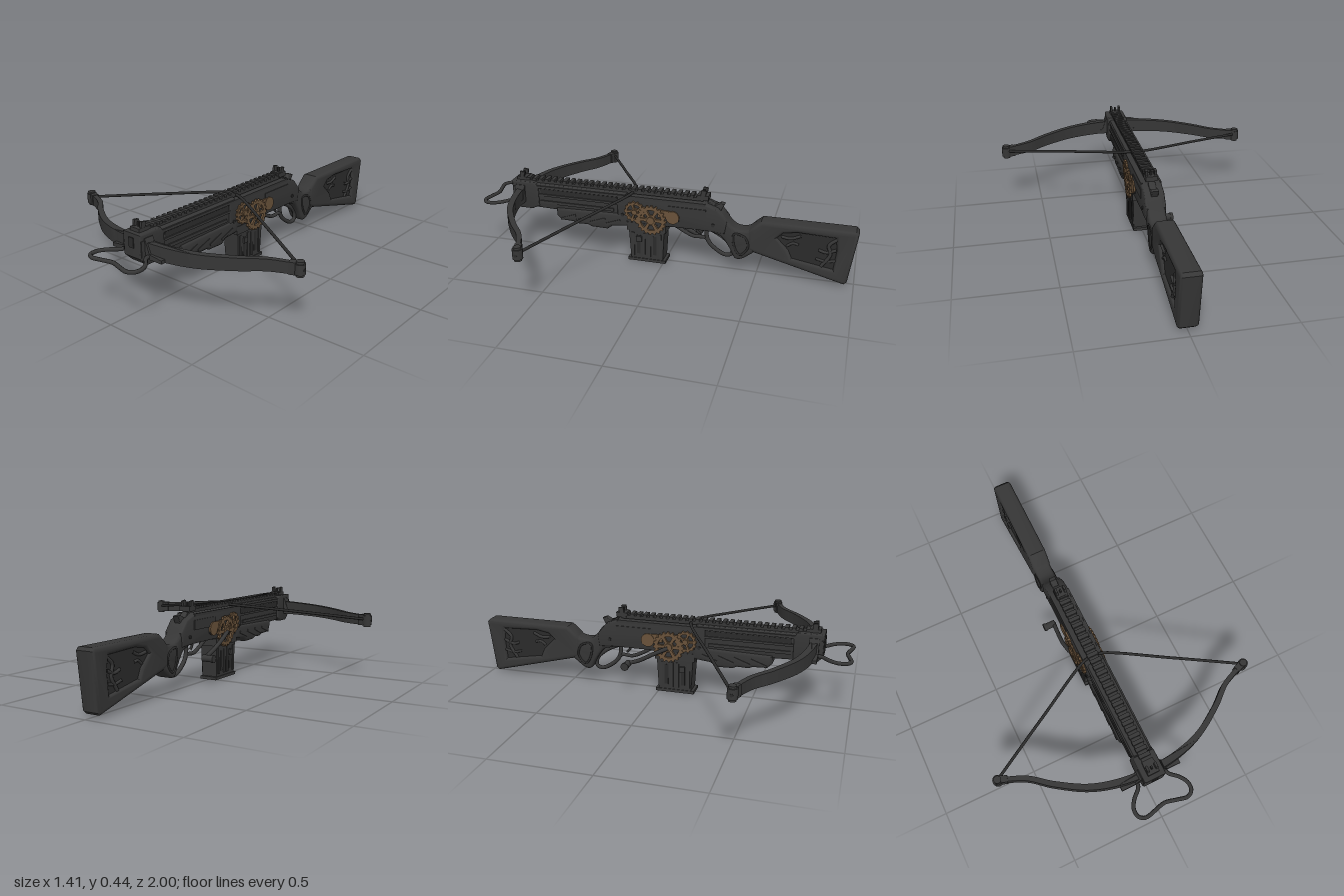
import * as THREE from 'three';
import { toCreasedNormals } from 'three/addons/utils/BufferGeometryUtils.js';

const mat = (name, color) => Object.assign(new THREE.MeshStandardMaterial({ color }), { name });
const V = (x, y, z) => new THREE.Vector3(x, y, z);
const V2 = ([a, b]) => new THREE.Vector2(a, b);

export function createModel() {
  const root = new THREE.Group();
  root.name = 'crossbow';
  const dark = mat('dark gunmetal', 0x363636);
  const black = mat('blackened steel', 0x2b2b2b);
  const bronze = mat('aged bronze', 0x69523a);

  const add = (name, geo, m = dark, parent = root) => {
    const mesh = new THREE.Mesh(geo, m);
    mesh.name = name;
    parent.add(mesh);
    return mesh;
  };
  const box = (name, w, h, d, x, y, z, m, rx = 0) => {
    const b = add(name, new THREE.BoxGeometry(w, h, d), m);
    b.position.set(x, y, z);
    b.rotation.x = rx;
    return b;
  };
  // cylinder lying along x
  const pin = (name, r, len, x, y, z, m, sides = 20) => {
    const c = add(name, new THREE.CylinderGeometry(r, r, len, sides).rotateZ(Math.PI / 2), m);
    c.position.set(x, y, z);
    return c;
  };
  // side profile given as [z, y], extruded across x with a rounded edge inside the outline
  const slab = (shape, half, bevel, segs = 3) => {
    const depth = 2 * (half - bevel);
    const g = new THREE.ExtrudeGeometry(shape, {
      depth, bevelEnabled: bevel > 0, bevelSize: bevel, bevelThickness: bevel,
      bevelOffset: -bevel, bevelSegments: segs, curveSegments: 10,
    });
    return toCreasedNormals(g.translate(0, 0, -depth / 2).rotateY(-Math.PI / 2), 0.65);
  };
  const poly = (pts) => new THREE.Shape(pts.map(V2));
  const smooth = (pts, n = 40) => new THREE.Shape(new THREE.SplineCurve(pts.map(V2)).getPoints(n));
  const tube = (name, pts, r, m = dark, closed = false, n = 40) =>
    add(name, new THREE.TubeGeometry(new THREE.CatmullRomCurve3(pts.map((p) => V(...p)), closed), n, r, 8, closed), m);

  // Receiver, barrel housing and nose
  add('receiver', slab(poly([[0.25, 0.375], [-0.22, 0.375], [-0.29, 0.35], [-0.34, 0.29], [-0.33, 0.22],
    [-0.24, 0.225], [-0.05, 0.225], [0.2, 0.2], [0.25, 0.22]]), 0.052, 0.008));
  add('barrelHousing', slab(poly([[0.83, 0.385], [0.2, 0.385], [0.2, 0.24], [0.6, 0.245], [0.8, 0.25], [0.83, 0.28]]), 0.045, 0.008));
  add('noseBlock', slab(poly([[0.85, 0.395], [0.72, 0.395], [0.7, 0.37], [0.7, 0.26], [0.74, 0.24], [0.81, 0.24], [0.85, 0.28]]), 0.056, 0.008));
  box('boltChannel', 0.03, 0.05, 0.008, 0, 0.35, 0.85, black);
  for (const s of [-1, 1]) {
    box('upperSideRib', 0.008, 0.014, 0.95, s * 0.049, 0.37, 0.25, dark);
    box('middleSideRib', 0.01, 0.012, 0.5, s * 0.047, 0.325, 0.45, dark);
    box('sideGroove', 0.006, 0.024, 0.48, s * 0.044, 0.347, 0.45, black);
    box('lowerSideRib', 0.01, 0.016, 0.42, s * 0.047, 0.285, 0.48, dark);
    box('receiverPlate', 0.006, 0.05, 0.2, s * 0.053, 0.32, -0.13, dark);
    for (const z of [-0.27, -0.08, 0.22]) pin('receiverPin', 0.009, 0.008, s * 0.054, 0.265, z, black, 12);
  }

  // Toothed top rail with sights
  box('railBase', 0.05, 0.018, 1.0, 0, 0.389, 0.29, dark);
  for (let i = 0; i < 28; i++) box('railTooth', 0.058, 0.014, 0.02, 0, 0.403, 0.765 - i * 0.0352, dark);
  for (const z of [0.8, -0.21]) {
    box('sightBase', 0.06, 0.025, 0.055, 0, 0.4, z, dark);
    for (const s of [-1, 1]) box('sightEar', 0.012, 0.04, 0.026, s * 0.023, 0.42, z, dark, -0.15);
    box('sightPost', 0.009, 0.03, 0.014, 0, 0.42, z, black);
  }
  add('hammer', slab(poly([[-0.23, 0.385], [-0.27, 0.36], [-0.3, 0.375], [-0.32, 0.37], [-0.3, 0.33], [-0.24, 0.33]]), 0.018, 0.004));

  // Scalloped fore-end
  add('foreEnd', slab(poly([[0.6, 0.26], [0.6, 0.215], [0.575, 0.19], [0.5, 0.187], [0.48, 0.178], [0.42, 0.18],
    [0.4, 0.17], [0.31, 0.168], [0.28, 0.19], [0.19, 0.2], [0.19, 0.27]]), 0.055, 0.016));
  for (const s of [-1, 1]) for (let i = 0; i < 4; i++)
    box('foreEndRidge', 0.008, 0.012, 0.09, s * 0.055, 0.215, 0.53 - i * 0.085, dark, 0.35);

  // Magazine with ribbed sides
  const magazine = new THREE.CylinderGeometry(0.05, 0.044, 0.22, 4, 1).rotateY(Math.PI / 4).toNonIndexed();
  magazine.scale(Math.SQRT2, 1, Math.SQRT2 * 2).computeVertexNormals();
  add('magazine', magazine).position.set(0, 0.12, 0.09);
  box('magazineBase', 0.096, 0.016, 0.208, 0, 0.008, 0.09, dark);
  box('magazineCollar', 0.108, 0.045, 0.215, 0, 0.205, 0.09, dark);
  for (const s of [-1, 1]) {
    for (const z of [0.165, 0.105, 0.075, 0.015]) box('magazineRib', 0.01, 0.14, 0.015, s * 0.046, 0.1, z, dark);
    for (const z of [0.135, 0.045]) box('magazineSlot', 0.006, 0.11, 0.02, s * 0.046, 0.1, z, black);
    box('magazineCatch', 0.012, 0.03, 0.03, s * 0.052, 0.135, 0.13, dark);
  }

  // Stock: rounded shell with a sunken panel on each side
  const stock = poly([[-0.45, 0.25], [-0.475, 0.275], [-0.515, 0.31], [-0.985, 0.31], [-1.0, 0.295],
    [-0.965, 0.025], [-0.95, 0.012], [-0.49, 0.13], [-0.45, 0.15]]);
  const panel = [[-0.63, 0.26], [-0.7, 0.272], [-0.89, 0.265], [-0.9, 0.2], [-0.89, 0.09], [-0.68, 0.125], [-0.66, 0.17], [-0.6, 0.23]];
  stock.holes.push(new THREE.Path(panel.map(V2)));
  add('stock', slab(stock, 0.05, 0.018, 4));
  add('stockPanel', slab(poly([[-0.58, 0.285], [-0.93, 0.285], [-0.92, 0.06], [-0.6, 0.12]]), 0.036, 0), black);
  for (const s of [-1, 1]) {
    const x = s * 0.038;
    tube('stockScroll', [[x, 0.26, -0.9], [x, 0.22, -0.86], [x, 0.17, -0.87], [x, 0.1, -0.83]], 0.009);
    tube('stockScroll', [[x, 0.2, -0.9], [x, 0.18, -0.85], [x, 0.19, -0.81]], 0.008);
    tube('stockScroll', [[x, 0.14, -0.9], [x, 0.13, -0.85], [x, 0.14, -0.8]], 0.007);
    tube('stockScroll', [[x, 0.24, -0.62], [x, 0.235, -0.67], [x, 0.255, -0.72]], 0.008);
    tube('stockScroll', [[x, 0.19, -0.65], [x, 0.21, -0.68], [x, 0.205, -0.71]], 0.007);
  }

  // Curved wrist and pistol grip
  add('grip', slab(smooth([[-0.26, 0.35], [-0.31, 0.33], [-0.35, 0.28], [-0.39, 0.25], [-0.44, 0.25], [-0.49, 0.27],
    [-0.51, 0.22], [-0.5, 0.15], [-0.46, 0.11], [-0.42, 0.083], [-0.385, 0.085], [-0.355, 0.14], [-0.31, 0.2], [-0.25, 0.23], [-0.26, 0.35]], 56), 0.046, 0.016, 4));
  for (const s of [-1, 1]) {
    tube('gripInlay', [[s * 0.045, 0.225, -0.38], [s * 0.045, 0.215, -0.435], [s * 0.045, 0.16, -0.455],
      [s * 0.045, 0.11, -0.415], [s * 0.045, 0.15, -0.385]], 0.006, black, true);
  }

  // Lever loop, trigger guard and trigger
  tube('leverLoop', [[0, 0.215, -0.23], [0, 0.15, -0.235], [0, 0.1, -0.285], [0, 0.078, -0.335], [0, 0.09, -0.365],
    [0, 0.135, -0.36], [0, 0.175, -0.32], [0, 0.205, -0.27]], 0.011, dark, true);
  tube('triggerGuard', [[0, 0.22, -0.05], [0, 0.19, -0.1], [0, 0.165, -0.16], [0, 0.165, -0.22], [0, 0.14, -0.245]], 0.01);
  tube('trigger', [[0, 0.235, -0.17], [0, 0.205, -0.172], [0, 0.185, -0.19]], 0.007, black, false, 12);

  // Bow limbs: a curved strip whose height tapers towards the tips
  const half = [[0.1, 0.795], [0.285, 0.75], [0.44, 0.66], [0.55, 0.575], [0.68, 0.52]];
  const bowLine = new THREE.SplineCurve([...half.map(([x, z]) => [-x, z]).reverse(), ...half].map(V2));
  const outer = [], inner = [];
  for (let i = 0; i <= 60; i++) {
    const p = bowLine.getPoint(i / 60), t = bowLine.getTangent(i / 60);
    const w = 0.019 - 0.008 * Math.abs(p.x) / 0.68;
    outer.push([p.x - t.y * w, -(p.y + t.x * w)]);
    inner.unshift([p.x + t.y * w, -(p.y - t.x * w)]);
  }
  const bow = new THREE.ExtrudeGeometry(poly([...outer, ...inner]), { depth: 1, bevelEnabled: false }).rotateX(-Math.PI / 2);
  const pos = bow.attributes.position;
  for (let i = 0; i < pos.count; i++) {
    const a = Math.abs(pos.getX(i));
    pos.setY(i, pos.getY(i) > 0.5 ? 0.357 - 0.035 * a : 0.28);
  }
  add('bowLimbs', toCreasedNormals(bow, 0.6));

  // Riser that clamps the limbs, bolted under the nose
  const riser = poly([[-0.16, 0.28], [0.16, 0.28], [0.16, 0.297], [0.085, 0.305], [0.06, 0.375], [-0.06, 0.375], [-0.085, 0.305], [-0.16, 0.297]]);
  add('riser', new THREE.ExtrudeGeometry(riser, { depth: 0.05, bevelEnabled: false }).translate(0, 0, 0.775));
  for (const s of [-1, 1]) {
    box('riserClamp', 0.018, 0.08, 0.07, s * 0.05, 0.325, 0.81, dark);
    // tip caps and bolts
    const cap = add('limbTip', new THREE.CylinderGeometry(0.025, 0.025, 0.05, 16));
    cap.position.set(s * 0.682, 0.308, 0.52);
    for (const y of [0.283, 0.333]) {
      const ring = add('tipCollar', new THREE.CylinderGeometry(0.019, 0.019, 0.022, 16));
      ring.position.set(s * 0.682, y, 0.52);
    }
    pin('tipBolt', 0.008, 0.06, s * 0.677, 0.306, 0.52, black, 10);
    box('tipClamp', 0.04, 0.058, 0.034, s * 0.655, 0.308, 0.528, dark).rotation.y = s * 0.35;
  }
  tube('bowString', [[-0.68, 0.312, 0.515], [-0.36, 0.352, 0.34], [-0.05, 0.387, 0.175], [0, 0.39, 0.168],
    [0.05, 0.387, 0.175], [0.36, 0.352, 0.34], [0.68, 0.312, 0.515]], 0.0075, black, false, 60);

  // Foot stirrup
  const foot = [[0.075, 0.8], [0.08, 0.84], [0.125, 0.885], [0.148, 0.925], [0.145, 0.965], [0.115, 0.985], [0.06, 0.975]];
  tube('stirrup', [...foot.map(([x, z]) => [-x, 0.292, z]), [0, 0.292, 0.962], ...foot.map(([x, z]) => [x, 0.292, z]).reverse()], 0.01, dark, false, 70);

  // Spoked gears on both sides
  const gear = (r, teeth, spokes) => {
    const pts = [];
    for (let i = 0; i < teeth * 4; i++) {
      const a = (i / (teeth * 4)) * Math.PI * 2, q = i % 4 < 2 ? r : r * 0.89;
      pts.push([q * Math.cos(a), q * Math.sin(a)]);
    }
    const shape = poly(pts);
    for (let i = 0; i < spokes; i++) {
      const a0 = (i / spokes) * Math.PI * 2 + 0.16, a1 = ((i + 1) / spokes) * Math.PI * 2 - 0.16;
      const hole = new THREE.Path();
      hole.absarc(0, 0, r * 0.7, a0, a1, false);
      hole.absarc(0, 0, r * 0.34, a1 - 0.1, a0 + 0.1, true);
      hole.closePath();
      shape.holes.push(hole);
    }
    return slab(shape, 0.006, 0);
  };
  for (const s of [-1, 1]) {
    for (const [r, teeth, spokes, x, y, z] of [[0.083, 20, 6, 0.064, 0.258, 0.06], [0.058, 14, 5, 0.058, 0.293, 0.15]]) {
      add('gear', gear(r, teeth, spokes), bronze).position.set(s * x, y, z);
      pin('gearHub', r * 0.25, 0.026, s * x, y, z, bronze);
    }
    pin('ratchetDrum', 0.036, 0.014, s * 0.056, 0.284, -0.055, bronze);
    box('ratchetPawl', 0.01, 0.04, 0.09, s * 0.056, 0.298, -0.02, bronze);
  }

  // Winding crank on one side
  tube('crankArm', [[-0.075, 0.255, 0.06], [-0.082, 0.215, -0.02], [-0.075, 0.17, -0.1], [-0.068, 0.145, -0.165]], 0.011, dark);
  pin('crankHandle', 0.018, 0.065, -0.095, 0.145, -0.163, dark);
  pin('crankKnob', 0.021, 0.014, -0.121, 0.145, -0.163, dark);

  return root;
}
